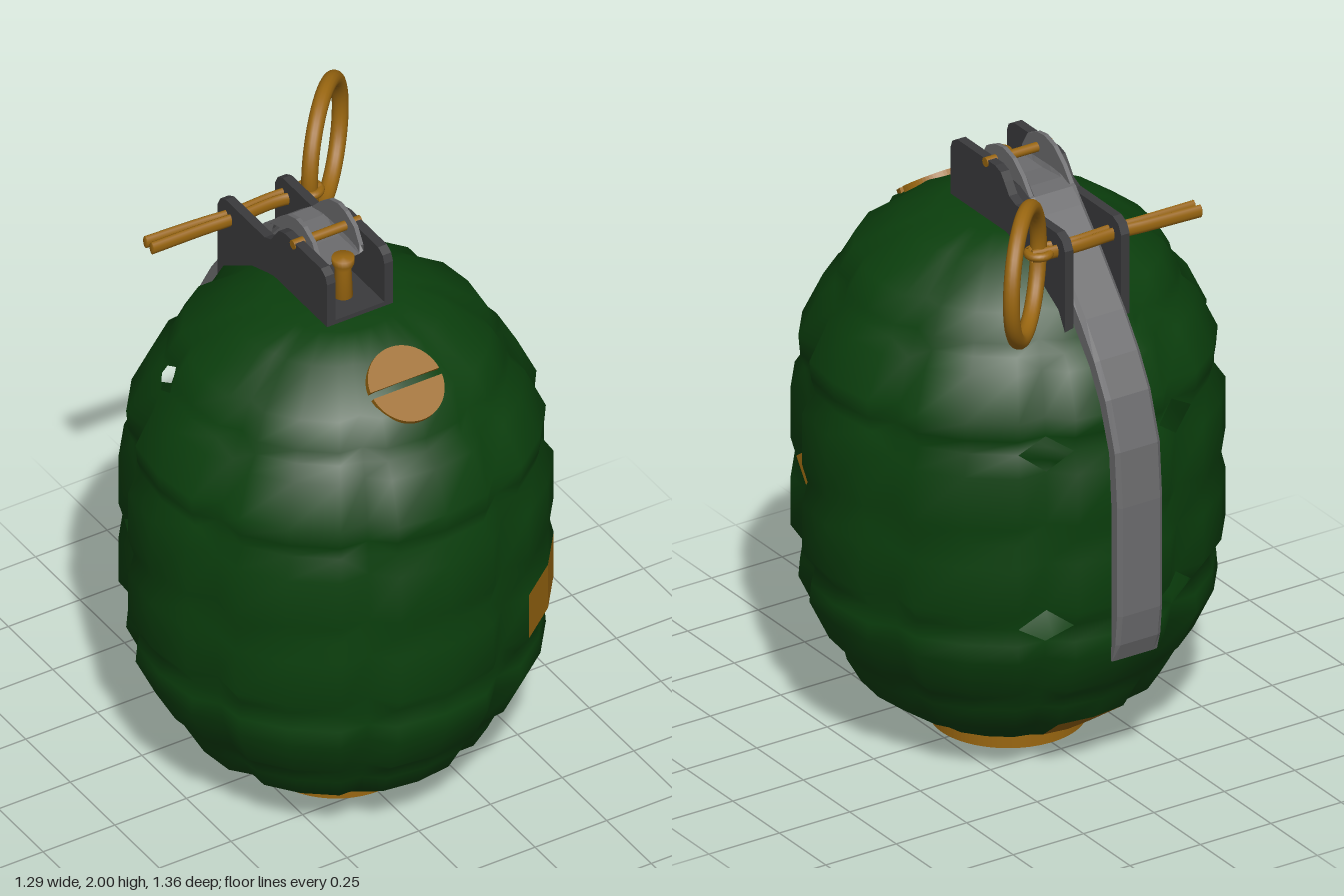
import * as THREE from 'three';
import { mergeVertices } from 'three/addons/utils/BufferGeometryUtils.js';

const AXIS_Z = 0.035; // the body axis sits slightly forward

const green = new THREE.MeshStandardMaterial({ color: 0x0b3f0d, side: THREE.DoubleSide });
green.name = 'green paint';
const brass = new THREE.MeshStandardMaterial({ color: 0x996610, side: THREE.DoubleSide });
brass.name = 'brass';
const darkSteel = new THREE.MeshStandardMaterial({ color: 0x3a3a3c });
darkSteel.name = 'dark steel';
const greySteel = new THREE.MeshStandardMaterial({ color: 0x6c6c6e, side: THREE.DoubleSide });
greySteel.name = 'grey steel';

function add(parent, name, geometry, material, x = 0, y = 0, z = 0) {
  const mesh = new THREE.Mesh(geometry, material);
  mesh.name = name;
  mesh.position.set(x, y, z);
  parent.add(mesh);
  return mesh;
}

function facets(points) {
  const g = new THREE.BufferGeometry().setFromPoints(points);
  g.computeVertexNormals();
  return g;
}

function smooth(points) {
  const g = mergeVertices(new THREE.BufferGeometry().setFromPoints(points));
  g.computeVertexNormals();
  return g;
}

// Segmented shell: rings of [height, block radius, groove radius]
const RINGS = [
  [0.07, 0.22, 0.22], [0.08, 0.32, 0.31], [0.18, 0.46, 0.43], [0.26, 0.505, 0.48],
  [0.30, 0.515, 0.5], [0.34, 0.56, 0.525], [0.47, 0.622, 0.575], [0.53, 0.617, 0.585],
  [0.58, 0.603, 0.592], [0.64, 0.645, 0.6], [0.80, 0.645, 0.605], [0.87, 0.628, 0.61],
  [0.93, 0.645, 0.605], [1.10, 0.645, 0.6], [1.16, 0.603, 0.592], [1.21, 0.617, 0.585],
  [1.27, 0.622, 0.575], [1.40, 0.56, 0.525], [1.44, 0.515, 0.5], [1.48, 0.505, 0.48],
  [1.56, 0.46, 0.43], [1.66, 0.32, 0.31], [1.70, 0.2, 0.2], [1.70, 0, 0],
];
const GROOVES = [4, 8, 11, 14, 18];
const BLOCK_ANGLES = [-14.5, 0, 14.5, 22.5];
// Open groove crossings, as ring:column
const HOLES = new Set(['11:1', '8:3', '14:3', '8:4', '14:4', '18:5', '11:5', '8:5']);
// Brass block faces, as ring:column
const PLATES = new Set(['9:1', '1:4']);

function buildBody(parent) {
  const vertex = (i, j) => {
    const [y, block, groove] = RINGS[i];
    const k = j % 4;
    const a = THREE.MathUtils.degToRad(Math.floor(j / 4) * 45 + BLOCK_ANGLES[k]);
    const r = k === 3 ? groove : block;
    return new THREE.Vector3(r * Math.sin(a), y, AXIS_Z + r * Math.cos(a));
  };
  const isCrossing = ([i, j]) => j % 4 === 3 && GROOVES.includes(i);
  const isHole = ([i, j]) => isCrossing([i, j]) && HOLES.has(`${i}:${Math.floor(j / 4)}`);
  const shell = [], plates = [];
  for (let i = 0; i < RINGS.length - 1; i++) {
    for (let j = 0; j < 32; j++) {
      const n = (j + 1) % 32;
      const a = [i, j], b = [i, n], c = [i + 1, n], d = [i + 1, j];
      // the diagonal never touches a groove crossing
      const tris = isCrossing(a) || isCrossing(c) ? [[a, b, d], [b, c, d]] : [[a, b, c], [a, c, d]];
      const plated = j % 4 < 2 && PLATES.has(`${i}:${Math.floor(j / 4)}`);
      for (const t of tris) {
        if (!t.some(isHole)) (plated ? plates : shell).push(...t.map((p) => vertex(...p)));
      }
    }
  }
  add(parent, 'segmentedBody', smooth(shell), green);
  add(parent, 'brassBlockFaces', facets(plates), brass);
}

// Flat extrusion of a ring sector, lying horizontally
function ringSector(inner, outer, from, to, height) {
  const s = new THREE.Shape();
  s.absarc(0, 0, outer, from, to, false);
  s.absarc(0, 0, inner, to, from, true);
  const g = new THREE.ExtrudeGeometry(s, { depth: height, bevelEnabled: false, curveSegments: 24 });
  return g.rotateX(-Math.PI / 2);
}

// Base plug: collar with two notches and a recessed floor
function buildBase(parent) {
  const base = new THREE.Group();
  base.name = 'basePlug';
  base.position.z = AXIS_Z;
  parent.add(base);
  for (const start of [-Math.PI / 4, Math.PI * 0.75]) {
    add(base, 'collarUpper', ringSector(0.19, 0.235, start, start + Math.PI, 0.04), brass, 0, 0.035);
    add(base, 'collarLower', ringSector(0.19, 0.235, start + 0.09, start + Math.PI - 0.09, 0.035), brass);
  }
  add(base, 'recessedFloor', new THREE.CylinderGeometry(0.2, 0.2, 0.02, 32), brass, 0, 0.055);
}

// Slotted filler screw on the front shoulder
function buildScrew(parent) {
  const screw = new THREE.Group();
  screw.name = 'fillerScrew';
  screw.position.set(0, 1.573, 0.4);
  screw.rotation.x = THREE.MathUtils.degToRad(37);
  parent.add(screw);
  add(screw, 'screwDisc', new THREE.CylinderGeometry(0.12, 0.12, 0.05, 32), brass);
  const t = Math.asin(0.01 / 0.12);
  const half = new THREE.Shape();
  half.absarc(0, 0, 0.12, t, Math.PI - t, false);
  for (const turn of [0, Math.PI]) {
    const g = new THREE.ExtrudeGeometry(half, { depth: 0.025, bevelEnabled: false, curveSegments: 16 });
    add(screw, 'screwHeadHalf', g.rotateX(-Math.PI / 2).rotateY(turn), brass, 0, 0.024);
  }
}

// Bracket: two side cheeks joined by a floor, with the striker and hinge pin
function buildBracket(parent) {
  const cheek = new THREE.Shape([
    [-0.17, 1.68], [-0.17, 1.855], [-0.16, 1.88], [-0.135, 1.895], [0.07, 1.895], [0.1, 1.885],
    [0.12, 1.86], [0.145, 1.825], [0.18, 1.81], [0.40, 1.81], [0.43, 1.795], [0.445, 1.765],
    [0.445, 1.49], [0.40, 1.5], [0.3, 1.57], [0.08, 1.68],
  ].map(([x, y]) => new THREE.Vector2(x, y)));
  for (const side of [-1, 1]) {
    const g = new THREE.ExtrudeGeometry(cheek, { depth: 0.03, bevelEnabled: false });
    g.translate(0, 0, -0.015).rotateY(Math.PI / 2);
    add(parent, 'bracketCheek', g, darkSteel, side * 0.1);
  }
  add(parent, 'bracketFloor', new THREE.BoxGeometry(0.2, 0.03, 0.3), darkSteel, 0, 1.7, 0.02);
  add(parent, 'hingePin', new THREE.CylinderGeometry(0.015, 0.015, 0.236, 16).rotateZ(Math.PI / 2),
    brass, 0, 1.885, -0.02);
  const striker = [[0, 1.7], [0.03, 1.7], [0.025, 1.815], [0.034, 1.835], [0.034, 1.855], [0, 1.855]];
  add(parent, 'striker', new THREE.LatheGeometry(striker.map((p) => new THREE.Vector2(...p)), 20),
    brass, 0, 0, 0.075);
}

// Lever: folded strip, each station gives [plate z, plate y, flange edge z, flange edge y]
function buildLever(parent) {
  const stations = [
    [0.06, 1.83, 0.06, 1.86], [0.04, 1.83, 0.03, 1.91], [0, 1.83, -0.02, 1.935],
    [-0.05, 1.83, -0.06, 1.94], [-0.1, 1.835, -0.11, 1.925], [-0.15, 1.84, -0.16, 1.885],
    [-0.21, 1.835, -0.205, 1.83], [-0.26, 1.795, -0.23, 1.76], [-0.36, 1.69, -0.33, 1.65],
    [-0.485, 1.545, -0.45, 1.5], [-0.56, 1.44, -0.525, 1.41], [-0.62, 1.335, -0.58, 1.31],
    [-0.67, 1.18, -0.63, 1.165], [-0.683, 1.0, -0.642, 1.0], [-0.683, 0.64, -0.642, 0.64],
    [-0.67, 0.54, -0.642, 0.54], [-0.647, 0.48, -0.64, 0.48],
  ];
  // outer skin with the flanges returned on the inside
  const section = [[-0.066, 0.2], [-0.066, 1], [-0.08, 1], [-0.08, 0.25], [-0.066, 0],
    [0.066, 0], [0.08, 0.25], [0.08, 1], [0.066, 1], [0.066, 0.2]];
  const at = ([pz, py, ez, ey], [x, f]) =>
    new THREE.Vector3(x, py + (ey - py) * f, pz + (ez - pz) * f);
  const points = [];
  for (let i = 0; i < stations.length - 1; i++) {
    for (let k = 0; k < section.length - 1; k++) {
      const a = at(stations[i], section[k]), b = at(stations[i], section[k + 1]);
      const c = at(stations[i + 1], section[k + 1]), d = at(stations[i + 1], section[k]);
      points.push(a, b, c, a, c, d);
    }
  }
  add(parent, 'safetyLever', facets(points), greySteel);
}

// Split pin through the cheeks, its eye, and the pull ring
function buildPin(parent) {
  for (const s of [-1, 1]) {
    const path = new THREE.CatmullRomCurve3([
      [-0.385, 0, s * 0.018 - 0.005], [-0.2, 0, s * 0.014], [-0.1, 0, s * 0.012 + 0.006],
      [0.05, 0, s * 0.012], [0.15, 0, s * 0.016 + 0.012], [0.195, 0, s * 0.01 + 0.012],
    ].map((p) => new THREE.Vector3(...p)));
    const g = new THREE.TubeGeometry(path, 24, 0.012, 10).scale(1, 1.8, 1);
    add(parent, 'splitPinLeg', g, brass, 0, 1.75, -0.392);
    const cap = new THREE.SphereGeometry(0.012, 10, 8).scale(0.3, 1.8, 1);
    add(parent, 'splitPinTip', cap, brass, -0.385, 1.75, -0.397 + s * 0.018);
  }
  const eye = new THREE.TorusGeometry(0.032, 0.014, 10, 24).rotateX(Math.PI / 2);
  add(parent, 'splitPinEye', eye, brass, 0.165, 1.75, -0.38);
  const ring = new THREE.TorusGeometry(0.2, 0.025, 14, 48).rotateY(Math.PI / 4);
  add(parent, 'pullRing', ring, brass, 0.303, 1.775, -0.515);
}

export function createModel() {
  const model = new THREE.Group();
  model.name = 'grenade';
  for (const build of [buildBody, buildBase, buildScrew, buildBracket, buildLever, buildPin]) build(model);
  return model;
}
